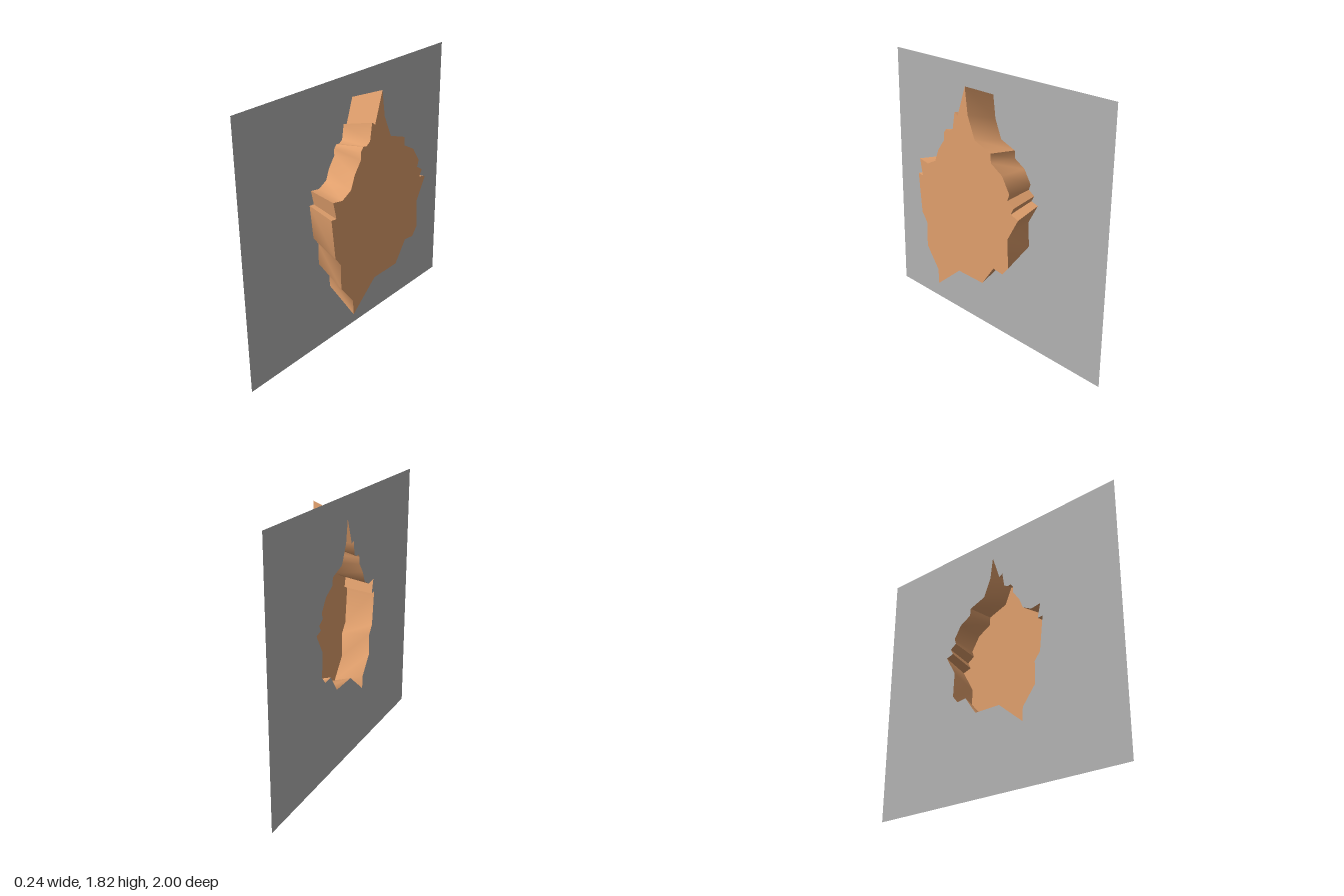
import * as THREE from 'three';
import { toCreasedNormals } from 'three/addons/utils/BufferGeometryUtils.js';

// Jagged outline as [z, y], clockwise when seen from +x
const OUTLINE = [
  [-0.01, 1.76], [-0.035, 1.585], [-0.1, 1.44], [-0.245, 1.39], [-0.25, 1.33],
  [-0.35, 1.275], [-0.415, 1.175], [-0.4, 1.13], [-0.455, 1.095], [-0.43, 1.05],
  [-0.495, 1.03], [-0.405, 0.875], [-0.415, 0.68], [-0.365, 0.62], [-0.28, 0.63],
  [-0.175, 0.485], [0.06, 0.485], [0.28, 0.305], [0.285, 0.41], [0.4, 0.555],
  [0.4, 0.73], [0.45, 0.795], [0.48, 1.07], [0.435, 1.065], [0.46, 1.18],
  [0.375, 1.165], [0.295, 1.205], [0.26, 1.29], [0.2, 1.37], [0.2, 1.42],
  [0.175, 1.45], [0.145, 1.445], [0.11, 1.465], [0.09, 1.58], [0.06, 1.56],
];
const HALF_DEPTH = 0.118;
const TAPER = 0.8625, CENTRE_Y = 1.105;
const HEIGHT = 1.82;

// The outline shrinks towards the panel
const inner = OUTLINE.map(([z, y]) => [z * TAPER, CENTRE_Y + (y - CENTRE_Y) * TAPER]);

// Shape space uses x = -z, so a quarter turn puts it in the zy plane facing +x
const toPoints = (list) => list.map(([z, y]) => new THREE.Vector2(-z, y));

function flatPart(name, shape, x, material) {
  const geometry = new THREE.ShapeGeometry(shape).rotateY(Math.PI / 2).translate(x, 0, 0);
  const mesh = new THREE.Mesh(geometry, material);
  mesh.name = name;
  return mesh;
}

// Flared wall joining the hole in the panel to the raised face
function wallGeometry() {
  const positions = [];
  const n = OUTLINE.length;
  for (let i = 0; i < n; i++) {
    const j = (i + 1) % n;
    const a = [HALF_DEPTH, OUTLINE[i][1], OUTLINE[i][0]];
    const b = [HALF_DEPTH, OUTLINE[j][1], OUTLINE[j][0]];
    const c = [-HALF_DEPTH, inner[j][1], inner[j][0]];
    const d = [-HALF_DEPTH, inner[i][1], inner[i][0]];
    positions.push(...a, ...b, ...c, ...a, ...c, ...d);
  }
  const geometry = new THREE.BufferGeometry();
  geometry.setAttribute('position', new THREE.Float32BufferAttribute(positions, 3));
  return toCreasedNormals(geometry, 1.0);
}

export function createModel() {
  const group = new THREE.Group();
  group.name = 'jaggedRelief';

  const grey = new THREE.MeshStandardMaterial({ color: 0xb2b2b2, side: THREE.DoubleSide });
  grey.name = 'panelGrey';
  const orange = new THREE.MeshStandardMaterial({ color: 0xe09f6c, side: THREE.DoubleSide });
  orange.name = 'reliefOrange';

  // Backing panel, open behind the hollow relief
  const panel = new THREE.Shape([
    new THREE.Vector2(-1, 0), new THREE.Vector2(1, 0),
    new THREE.Vector2(1, HEIGHT), new THREE.Vector2(-1, HEIGHT),
  ]);
  panel.holes.push(new THREE.Path(toPoints(inner)));
  group.add(flatPart('backPanel', panel, -HALF_DEPTH, grey));

  // Raised face and its surrounding wall
  group.add(flatPart('raisedFace', new THREE.Shape(toPoints(OUTLINE)), HALF_DEPTH, orange));
  const wall = new THREE.Mesh(wallGeometry(), orange);
  wall.name = 'flaredWall';
  group.add(wall);

  return group;
}
